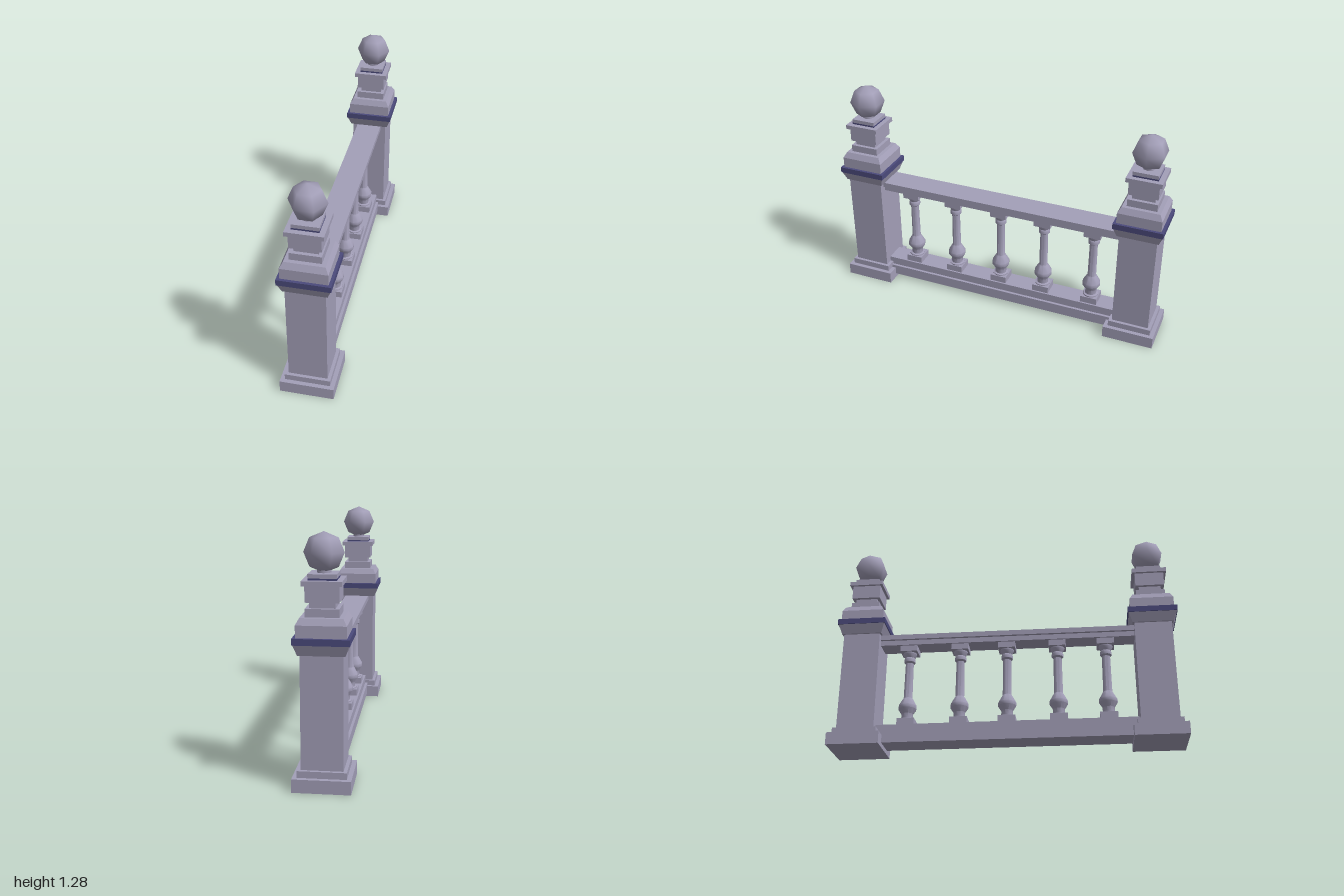
import * as THREE from 'three';
import { toCreasedNormals } from 'three/addons/utils/BufferGeometryUtils.js';

const stone = new THREE.MeshStandardMaterial({ color: 0xa39fb8 });
stone.name = 'lilac stone';
const trim = new THREE.MeshStandardMaterial({ color: 0x4b4a7c });
trim.name = 'dark blue trim';

function add(parent, name, geometry, material = stone) {
  const mesh = new THREE.Mesh(geometry, material);
  mesh.name = name;
  parent.add(mesh);
  return mesh;
}

// Square block with crisp faces; half-widths at bottom and top may differ
function squareBlock(y0, y1, bottom, top = bottom) {
  const g = new THREE.CylinderGeometry(top * Math.SQRT2, bottom * Math.SQRT2, y1 - y0, 4);
  g.rotateY(Math.PI / 4);
  g.translate(0, (y0 + y1) / 2, 0);
  return toCreasedNormals(g, 0.3);
}

function slab(width, y0, y1, length) {
  return new THREE.BoxGeometry(width, y1 - y0, length).translate(0, (y0 + y1) / 2, 0);
}

// name, bottom y, top y, bottom half-width, top half-width, material
const pillarParts = [
  ['base', 0, 0.07, 0.149, 0.149, stone],
  ['baseStep', 0.07, 0.105, 0.125, 0.125, stone],
  ['shaft', 0.105, 0.69, 0.107, 0.107, stone],
  ['flare', 0.69, 0.745, 0.117, 0.137, stone],
  ['band', 0.745, 0.778, 0.141, 0.141, trim],
  ['cap', 0.778, 0.84, 0.125, 0.125, stone],
  ['capBevel', 0.84, 0.873, 0.125, 0.107, stone],
  ['lowerStep', 0.873, 0.914, 0.084, 0.084, stone],
  ['neckBlock', 0.914, 0.944, 0.064, 0.064, stone],
  ['upperBlock', 0.944, 1.025, 0.084, 0.084, stone],
  ['topSlab', 1.025, 1.05, 0.1, 0.1, stone],
  ['topBand', 1.05, 1.059, 0.071, 0.071, trim],
  ['topStep', 1.059, 1.08, 0.071, 0.071, stone],
];

function createPillar() {
  const pillar = new THREE.Group();
  pillar.name = 'pillar';
  for (const [name, y0, y1, bottom, top, material] of pillarParts) {
    add(pillar, name, squareBlock(y0, y1, bottom, top), material);
  }
  // Round neck and faceted ball finial
  add(pillar, 'finialNeck', new THREE.CylinderGeometry(0.035, 0.035, 0.04, 8).translate(0, 1.095, 0));
  add(pillar, 'finialBall', new THREE.SphereGeometry(0.101, 6, 4).translate(0, 1.178, 0));
  return pillar;
}

// Turned outline of a baluster: radius, height
const balusterProfile = [
  [0.046, 0.175], [0.046, 0.183], [0.034, 0.186], [0.034, 0.215], [0.053, 0.245],
  [0.053, 0.265], [0.031, 0.305], [0.026, 0.312], [0.024, 0.53], [0.034, 0.538],
  [0.034, 0.556], [0.03, 0.565], [0.041, 0.588], [0.041, 0.596],
].map(([r, y]) => new THREE.Vector2(r, y));

function createBaluster() {
  const baluster = new THREE.Group();
  baluster.name = 'baluster';
  add(baluster, 'plinth', squareBlock(0.135, 0.176, 0.05));
  add(baluster, 'spindle', toCreasedNormals(new THREE.LatheGeometry(balusterProfile, 10), 0.65));
  add(baluster, 'headBlock', squareBlock(0.595, 0.63, 0.05));
  return baluster;
}

export function createModel() {
  const model = new THREE.Group();
  model.name = 'balustrade';

  // Pillars at both ends
  for (const side of [1, -1]) {
    const pillar = createPillar();
    pillar.position.z = side * 0.851;
    model.add(pillar);
  }

  // Stepped rails between the pillars
  add(model, 'handrail', slab(0.152, 0.66, 0.69, 1.5));
  add(model, 'handrailUnderside', slab(0.12, 0.63, 0.66, 1.5));
  add(model, 'bottomRail', slab(0.152, 0.025, 0.088, 1.5));
  add(model, 'bottomRailStep', slab(0.12, 0.088, 0.136, 1.5));

  // Row of balusters
  for (const z of [0.575, 0.295, 0, -0.275, -0.578]) {
    const baluster = createBaluster();
    baluster.position.z = z;
    model.add(baluster);
  }
  return model;
}
